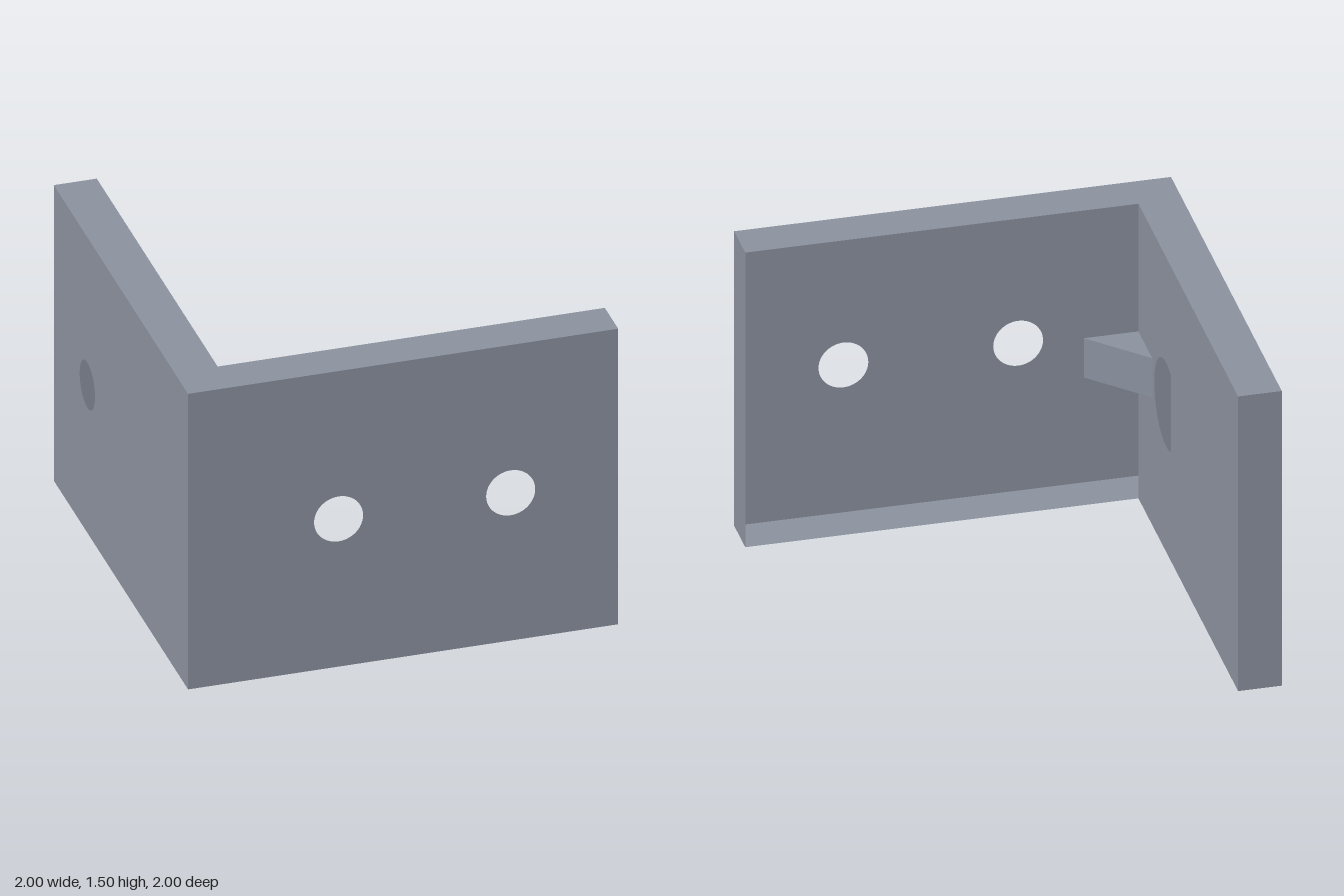
import * as THREE from 'three';

const H = 1.5;          // bracket height
const T = 0.2;          // plate thickness
const HOLE_Y = 0.75;    // height of all bolt holes
const BOLT_R = 0.114, SINK_R = 0.213;

// Flat outline from corner points, with optional round and square cut-outs
function panel(points, holes = [], cutouts = []) {
  const shape = new THREE.Shape(points.map(([x, y]) => new THREE.Vector2(x, y)));
  for (const [x, y, r] of holes) {
    shape.holes.push(new THREE.Path().absarc(x, y, r, 0, Math.PI * 2, true));
  }
  for (const c of cutouts) {
    shape.holes.push(new THREE.Path(c.map(([x, y]) => new THREE.Vector2(x, y))));
  }
  return new THREE.ShapeGeometry(shape, 32);
}

const rect = (x0, x1, y0, y1) => [[x0, y0], [x1, y0], [x1, y1], [x0, y1]];

export function createModel() {
  const group = new THREE.Group();
  const steel = new THREE.MeshStandardMaterial({ color: 0x8b929f, side: THREE.DoubleSide });
  steel.name = 'steel grey';

  const add = (name, geometry) => {
    const mesh = new THREE.Mesh(geometry, steel);
    mesh.name = name;
    group.add(mesh);
  };
  // Panels drawn in (x, y) facing +z
  const facingZ = (name, z, geo) => add(name, geo.translate(0, 0, z));
  // Panels drawn in (-z, y), turned to face +x or -x
  const facingX = (name, x, geo, sign = 1) => {
    geo.rotateY(Math.PI / 2).translate(x, 0, 0);
    if (sign < 0) flip(geo);
    add(name, geo);
  };
  // Panels drawn in (x, -z), laid flat to face up or down
  const facingY = (name, y, geo, sign = 1) => {
    geo.rotateX(-Math.PI / 2).translate(0, y, 0);
    if (sign < 0) flip(geo);
    add(name, geo);
  };
  // Reverse winding and normals
  const flip = (geo) => {
    geo.index.array.reverse();
    const n = geo.attributes.normal;
    for (let i = 0; i < n.array.length; i++) n.array[i] *= -1;
  };

  // Front plate: single skin with two bolt holes, open towards the inside
  facingZ('frontPlate', 1, panel(rect(-1, 1, 0, H),
    [[-0.3, HOLE_Y, BOLT_R], [0.5, HOLE_Y, BOLT_R]]));

  // Side plate: outer skin with bolt holes, inner skin with wide access holes
  const zs = [0.3, -0.5];
  facingX('sidePlateOuter', -1, panel(rect(-1, 1, 0, H),
    zs.map((z) => [-z, HOLE_Y, BOLT_R])), -1);
  facingX('sidePlateInner', -1 + T, panel(rect(-0.8, 1, 0, H),
    zs.map((z) => [-z, HOLE_Y, SINK_R]), [rect(-0.795, -0.55, 0.65, 0.85)]));

  // End caps of both plates
  facingX('frontPlateEnd', 1, panel(rect(-1, -0.8, 0, H)));
  const sideEnd = panel(rect(-1, -0.8, 0, H));
  flip(sideEnd);
  facingZ('sidePlateEnd', -1, sideEnd);

  // L-shaped rims, top and bottom
  const ell = [[-1, -1], [1, -1], [1, -0.8], [-0.8, -0.8], [-0.8, 1], [-1, 1]];
  facingY('topRim', H, panel(ell));
  facingY('bottomRim', 0, panel(ell), -1);

  // Corner gusset: two triangles and a sloping face
  const tri = [[-0.8, -0.8], [-0.55, -0.8], [-0.8, -0.55]];
  facingY('gussetTop', 0.85, panel(tri));
  facingY('gussetBottom', 0.65, panel(tri), -1);
  const slope = new THREE.PlaneGeometry(0.25 * Math.SQRT2, 0.2);
  slope.rotateY(Math.PI * 0.75).translate(-0.675, HOLE_Y, 0.675);
  add('gussetSlope', slope);

  return group;
}
